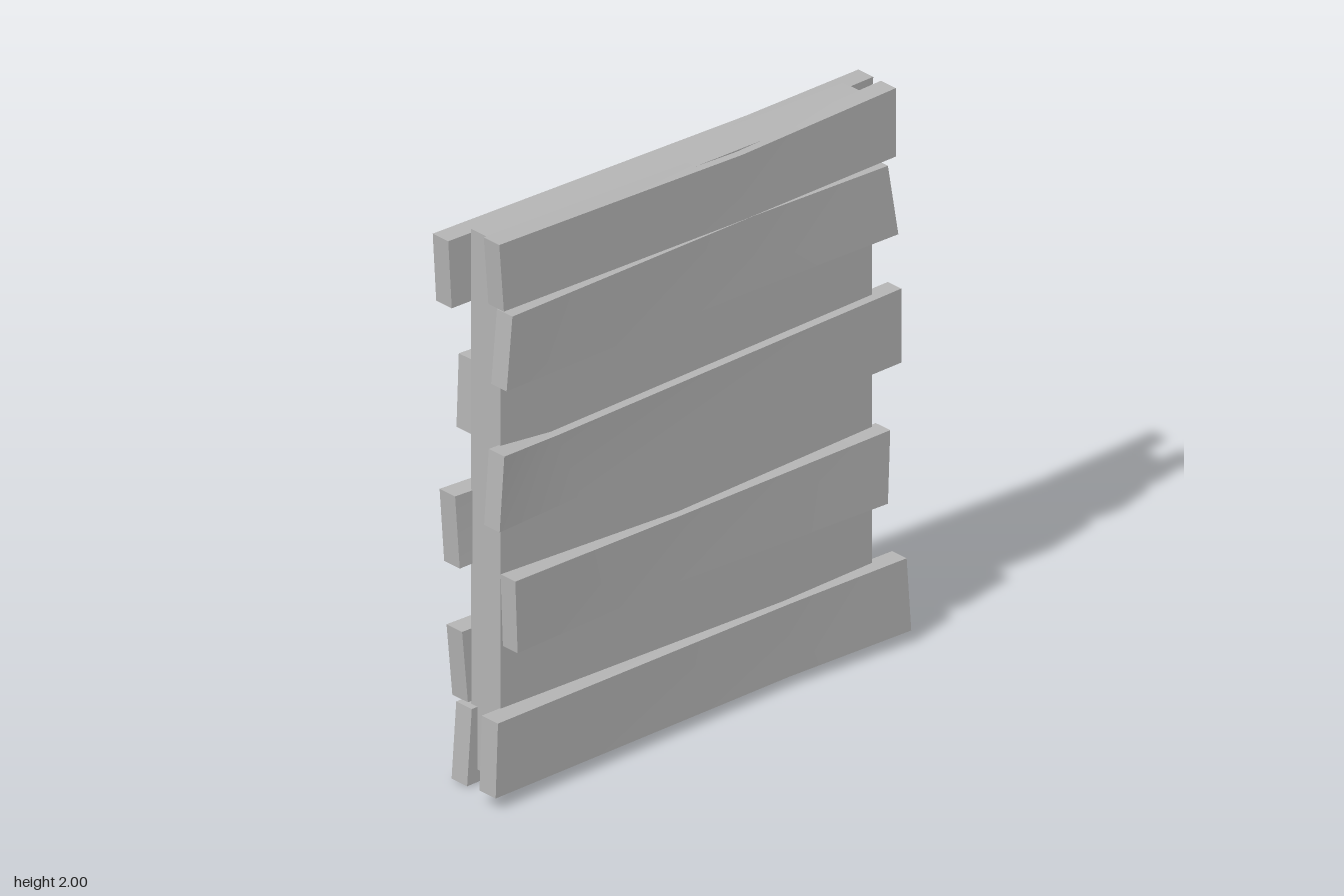
import * as THREE from 'three';
import { toCreasedNormals } from 'three/addons/utils/BufferGeometryUtils.js';

// Each plank has three stations (left end, bend, right end):
// [x at top, x at bottom, y top, y bottom, inner depth, outer depth]
const FRONT = [
  [[-0.86, -0.84, 2.0, 1.755, 0.04, 0.115], [0.2, 0.2, 1.97, 1.735, 0.03, 0.1], [0.85, 0.85, 2.0, 1.755, 0.04, 0.112]],
  [[-0.83, -0.855, 1.745, 1.485, 0.07, 0.145], [0.25, 0.25, 1.735, 1.47, 0.028, 0.1], [0.8, 0.845, 1.745, 1.485, 0.055, 0.13]],
  [[-0.865, -0.885, 1.255, 0.99, 0.07, 0.145], [-0.6, -0.5, 1.23, 0.98, 0.035, 0.105], [0.88, 0.88, 1.27, 1.005, 0.04, 0.105]],
  [[-0.815, -0.805, 0.79, 0.53, 0.065, 0.142], [-0.05, -0.05, 0.765, 0.53, 0.03, 0.1], [0.81, 0.8, 0.795, 0.535, 0.06, 0.13]],
  [[-0.895, -0.905, 0.31, 0.045, 0.07, 0.148], [0.4, 0.4, 0.295, 0.035, 0.028, 0.1], [0.885, 0.905, 0.31, 0.045, 0.055, 0.125]],
];
const BACK = [
  [[-0.91, -0.895, 1.96, 1.715, 0.075, 0.15], [0.4, 0.4, 1.97, 1.735, 0.03, 0.105], [0.905, 0.88, 1.96, 1.715, 0.058, 0.13]],
  [[-0.805, -0.815, 1.5, 1.24, 0.065, 0.142], [-0.05, -0.05, 1.5, 1.265, 0.03, 0.1], [0.8, 0.81, 1.495, 1.235, 0.055, 0.13]],
  [[-0.885, -0.865, 1.04, 0.775, 0.07, 0.145], [-0.5, -0.6, 1.05, 0.8, 0.035, 0.105], [0.88, 0.88, 1.025, 0.76, 0.038, 0.103]],
  [[-0.855, -0.83, 0.545, 0.285, 0.07, 0.145], [0.25, 0.25, 0.56, 0.295, 0.028, 0.1], [0.845, 0.8, 0.545, 0.28, 0.055, 0.13]],
  [[-0.86, -0.84, 0.005, 0.275, 0.04, 0.115], [0.2, 0.2, 0.035, 0.29, 0.03, 0.1], [0.85, 0.85, 0.0, 0.275, 0.04, 0.112]]
    .map(([xa, xb, ya, yb, zi, zo]) => [xb, xa, yb, ya, zi, zo]),
];

// Box with one bend, its corners moved onto the stations
function plankGeometry(stations, side) {
  const geo = new THREE.BoxGeometry(2, 2, 2, 2, 1, 1);
  const p = geo.attributes.position;
  for (let i = 0; i < p.count; i++) {
    const [xt, xb, yt, yb, zi, zo] = stations[Math.round(p.getX(i)) + 1];
    const top = p.getY(i) > 0;
    const outer = p.getZ(i) * side > 0;
    p.setXYZ(i, top ? xt : xb, top ? yt : yb, side * (outer ? zo : zi));
  }
  return toCreasedNormals(geo, 0.5);
}

export function createModel() {
  const model = new THREE.Group();
  model.name = 'plankPanel';
  const grey = new THREE.MeshStandardMaterial({ name: 'plain grey', color: 0xb4b4b4 });

  // Solid slab between the two layers of planks
  const core = new THREE.Mesh(new THREE.BoxGeometry(1.6, 1.925, 0.142), grey);
  core.position.set(-0.015, 1.0125, 0);
  core.name = 'core';
  model.add(core);

  // Five bent planks on each face
  for (const [name, planks, side] of [['frontPlank', FRONT, 1], ['backPlank', BACK, -1]]) {
    planks.forEach((stations, i) => {
      const mesh = new THREE.Mesh(plankGeometry(stations, side), grey);
      mesh.name = name + (i + 1);
      model.add(mesh);
    });
  }
  return model;
}
